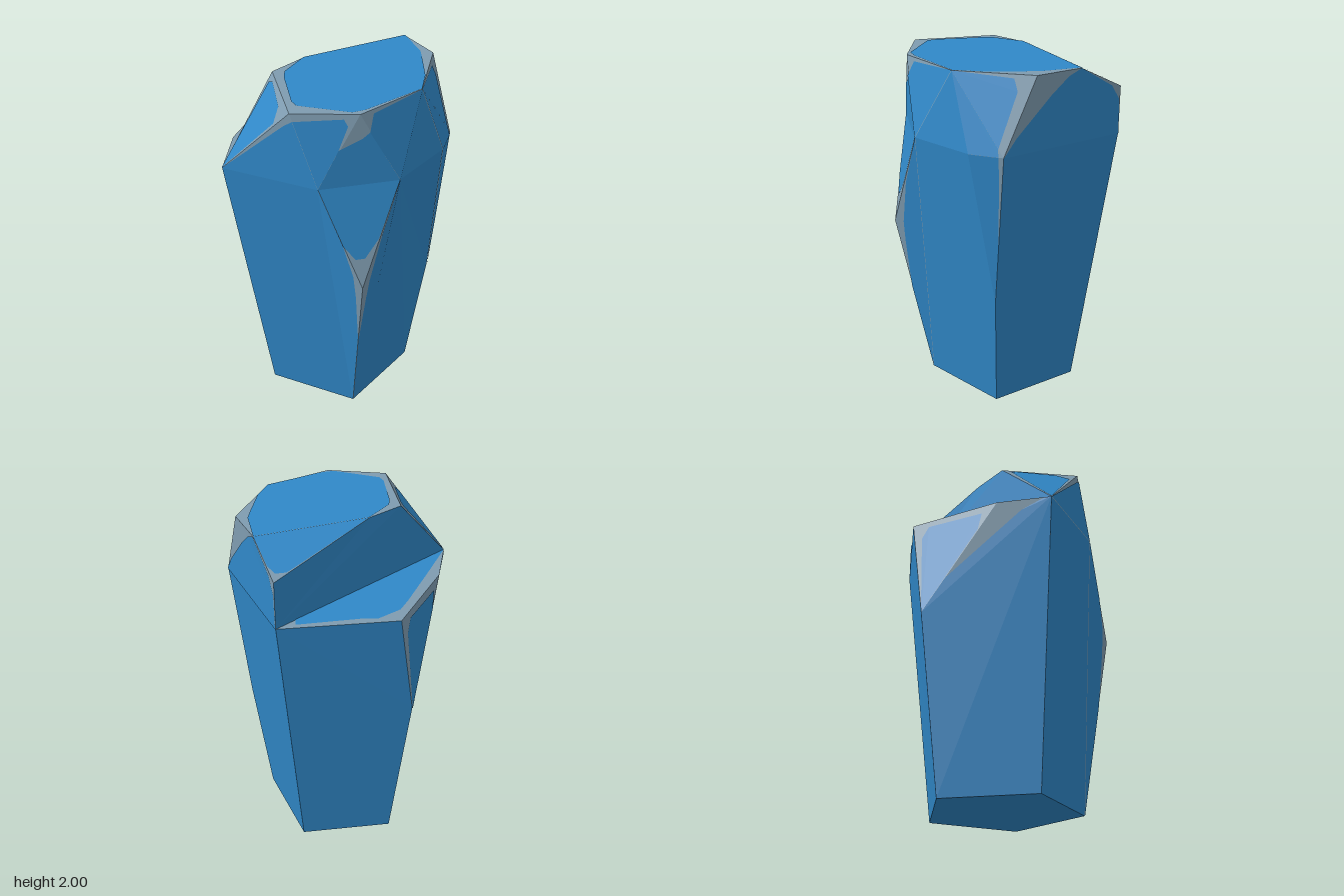
import * as THREE from 'three';

// Corners of the crystal
const V = {
  // pentagonal foot
  A: [0.25, 0, 0.43], B: [0.41, 0, -0.07], C: [-0.02, 0, -0.39], D: [-0.45, 0, -0.07], E: [-0.28, 0, 0.43],
  // chipped corners part-way up
  frontChip: [0.355, 1.04, 0.58], rightChip: [0.5, 0.73, -0.11], leftChip: [-0.575, 1.0, -0.12],
  // shoulder
  F1: [-0.41, 1.61, 0.6], F2: [0.12, 1.61, 0.6], G: [0.46, 1.61, 0.36], P: [0.57, 1.61, 0],
  R: [0.555, 1.61, -0.187], I: [-0.02, 1.61, -0.605], H: [-0.53, 1.61, -0.23], Q: [-0.505, 1.61, 0.31],
  // crown
  J: [-0.02, 1.87, -0.605], K: [0.187, 2, -0.455], b: [0.398, 2, -0.3], c: [0.475, 2, 0.125],
  d: [0.29, 2, 0.48], e: [-0.02, 2, 0.6], f: [-0.29, 2, 0.23], L: [-0.212, 2, 0.02],
};
const CORE = new THREE.Vector3(0, 0.9, 0);
const vec = (n) => new THREE.Vector3(...V[n]);

// Outward plane through three corners
function facePlane(p) {
  const plane = new THREE.Plane().setFromCoplanarPoints(p[0], p[1], p[2]);
  return plane.distanceToPoint(CORE) > 0 ? plane.negate() : plane;
}

// Fan-filled polygon, wound to face outward
function polygon(pts, normal) {
  const n = new THREE.Vector3();
  for (let i = 1; i < pts.length - 1; i++) {
    n.add(pts[i].clone().sub(pts[0]).cross(pts[i + 1].clone().sub(pts[0])));
  }
  const ring = n.dot(normal) < 0 ? [...pts].reverse() : pts;
  const tris = [];
  for (let i = 1; i < ring.length - 1; i++) tris.push(ring[0], ring[i], ring[i + 1]);
  const g = new THREE.BufferGeometry().setFromPoints(tris);
  g.computeVertexNormals();
  return g;
}

// Place a two-coordinate point on the plane by solving for the third
function onPlane(plane, axes, [u, v]) {
  const p = new THREE.Vector3();
  p[axes[0]] = u;
  p[axes[1]] = v;
  const free = ['x', 'y', 'z'].find((k) => !axes.includes(k));
  p[free] = -(plane.normal.dot(p) + plane.constant) / plane.normal[free];
  return p;
}

// name, corners, and for worn faces: axes and outline of the clean blue area
const FACES = [
  ['base', 'A B C D E'],
  // front side
  ['frontFace', 'F2 F1 E'],
  ['frontFace', 'F2 E A'],
  ['frontFaceEdge', 'F2 A frontChip', 'xy', ['F2', 'A', [0.312, 0.62], [0.312, 0.95], [0.303, 1.1], [0.25, 1.29]]],
  ['frontChipFacet', 'F2 G frontChip', 'xy', ['F2', [0.25, 1.29], [0.31, 1.21], [0.35, 1.21], [0.4, 1.31], 'G']],
  // right side
  ['rightFaceEdge', 'G frontChip A', 'zy', ['G', 'A', [0.518, 0.6], [0.52, 0.92], [0.515, 1.05], [0.46, 1.32]]],
  ['rightFace', 'G A B'],
  ['rightFace', 'G B rightChip'],
  ['rightFace', 'G rightChip P'],
  ['rightSliver', 'P R rightChip', 'zy', ['P', 'rightChip', [-0.139, 1.05], [-0.16, 1.5], [-0.16, 1.61]]],
  // back sides
  ['backRightFace', 'I C B rightChip R'],
  ['backRightCrown', 'I R b K J', 'zy',
    ['I', 'R', [-0.23, 1.7], [-0.35, 1.89], [-0.41, 1.97], 'K', [-0.57, 1.88], [-0.6, 1.8]]],
  ['backLeftFace', 'I C D leftChip H'],
  // left side
  ['leftFace', 'E D leftChip Q F1', 'zy', ['E', 'D', 'leftChip', [0.2, 1.46], [0.3, 1.52], [0.45, 1.6], 'F1']],
  ['leftChipFacet', 'leftChip H Q', 'zy', ['leftChip', [0.2, 1.46], [0.22, 1.56], [-0.12, 1.57], [-0.16, 1.5]]],
  // ledge and the step above it
  ['ledge', 'I H Q F1', 'xz',
    ['F1', [-0.445, 0.275], [-0.475, -0.03], [-0.48, -0.135], [-0.42, -0.27], [-0.35, -0.31], [-0.085, -0.525], [-0.06, -0.48]]],
  ['stepWall', 'I F1 f L J'],
  // sloping crown facets
  ['crownFrontLeft', 'F1 f e', 'xy', ['F1', [-0.28, 1.97], [-0.25, 1.985], [-0.12, 1.97], [-0.11, 1.92]]],
  ['crownFront', 'F1 F2 e', 'xy', ['F1', 'F2', [-0.005, 1.96], [-0.05, 1.93]]],
  ['crownFront', 'F2 e d', 'xy', ['F2', [-0.005, 1.96], [0.22, 1.975], [0.24, 1.94], [0.205, 1.82]]],
  ['crownFrontRight', 'F2 G d', 'xy', ['F2', 'G', [0.33, 1.9], [0.3, 1.87], [0.205, 1.82]]],
  ['crownFrontRight', 'G c d', 'xy', ['G', 'c', [0.33, 1.98], [0.33, 1.9]]],
  ['crownRight', 'c G P'],
  ['crownRight', 'c P R', 'zy', ['c', 'P', [-0.16, 1.61], [-0.155, 1.65]]],
  ['crownBackRight', 'c R b', 'zy', ['c', [-0.155, 1.65], [-0.215, 1.92], [-0.19, 1.98]]],
  ['crownBackSlope', 'J K L', 'xz', ['L', 'K', [0.05, -0.55], [0, -0.56], [-0.04, -0.52], [-0.064, -0.45]]],
  ['crownTop', 'K b c d e f L', 'xz',
    ['L', [-0.23, 0.21], [-0.205, 0.27], [-0.06, 0.49], [-0.02, 0.52], [0.25, 0.48], [0.3, 0.43],
      'c', [0.445, -0.02], [0.37, -0.2], [0.33, -0.29], 'K']],
];

export function createModel() {
  const blue = new THREE.MeshStandardMaterial({ color: 0x3088c8 });
  blue.name = 'crystalBlue';
  const grey = new THREE.MeshStandardMaterial({ color: 0x7f9cb0 });
  grey.name = 'wornGrey';

  const model = new THREE.Group();
  model.name = 'crystal';
  const add = (name, geometry, material) => {
    const mesh = new THREE.Mesh(geometry, material);
    mesh.name = name;
    model.add(mesh);
  };

  for (const [name, corners, axes, clean] of FACES) {
    const pts = corners.split(' ').map(vec);
    const plane = facePlane(pts);
    add(name, polygon(pts, plane.normal), clean ? grey : blue);
    if (!clean) continue;
    // clean blue area just above the worn face
    const patch = clean.map((p) => (typeof p === 'string' ? vec(p) : onPlane(plane, axes, p))
      .addScaledVector(plane.normal, 0.003));
    add(name + 'Clean', polygon(patch, plane.normal), blue);
  }
  return model;
}
